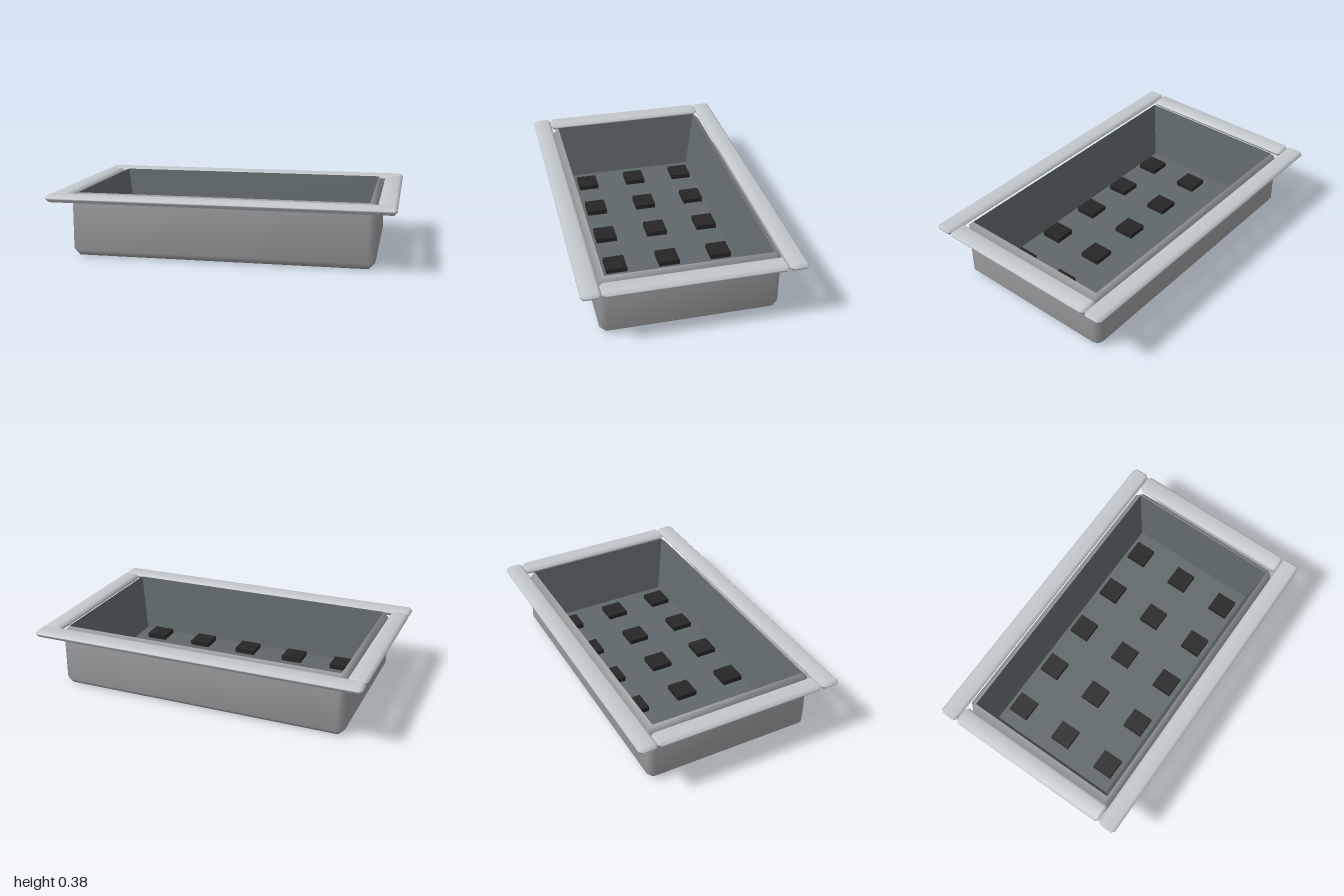
import * as THREE from 'three';
import { mergeVertices } from 'three/addons/utils/BufferGeometryUtils.js';

const paint = (name, color, side = THREE.FrontSide) => {
  const m = new THREE.MeshStandardMaterial({ color, side });
  m.name = name;
  return m;
};

// Skin over rectangular rings [y, halfX, halfZ, cornerCut]; caps face -y (first) and +y (last)
function loft(rings, { capFirst = true, capLast = true, smooth = true } = {}) {
  const pos = [], idx = [];
  for (const [y, hx, hz, c] of rings) {
    const corners = [
      [hx, hz - c], [hx - c, hz], [-hx + c, hz], [-hx, hz - c],
      [-hx, -hz + c], [-hx + c, -hz], [hx - c, -hz], [hx, -hz + c],
    ];
    for (const [x, z] of corners) pos.push(x, y, z);
  }
  for (let r = 0; r < rings.length - 1; r++) {
    for (let i = 0; i < 8; i++) {
      const a = r * 8 + i, b = r * 8 + (i + 1) % 8;
      idx.push(a, a + 8, b, b, a + 8, b + 8);
    }
  }
  const last = (rings.length - 1) * 8;
  for (let i = 1; i < 7; i++) {
    if (capFirst) idx.push(0, i, i + 1);
    if (capLast) idx.push(last, last + i + 1, last + i);
  }
  let geo = new THREE.BufferGeometry();
  geo.setAttribute('position', new THREE.Float32BufferAttribute(pos, 3));
  geo.setIndex(idx);
  geo = smooth ? mergeVertices(geo) : geo.toNonIndexed();
  geo.computeVertexNormals();
  return geo;
}

// Rings of a box with bevelled edges
const bevelRings = (y0, y1, hx, hz, b) => [
  [y0, hx - b, hz - b, 0], [y0 + b, hx, hz, b],
  [y1 - b, hx, hz, b], [y1, hx - b, hz - b, 0],
];

export function createModel() {
  const model = new THREE.Group();
  model.name = 'tray';
  const tubGrey = paint('tub grey', 0x9a9b9d);
  const rimGrey = paint('rim pale grey', 0xc1c8cc);
  const linerGrey = paint('liner dark grey', 0x60686b, THREE.DoubleSide);
  const padBlack = paint('pad black', 0x262626);

  const add = (name, geo, mat, x = 0, y = 0, z = 0) => {
    const mesh = new THREE.Mesh(geo, mat);
    mesh.name = name;
    mesh.position.set(x, y, z);
    model.add(mesh);
  };

  // Outer tub, bevelled and open at the top
  add('tub', loft(bevelRings(0, 0.375, 0.885, 0.51, 0.037), { capLast: false }), tubGrey);

  // Tapered inner walls and floor
  add('liner', loft([[0.375, 0.848, 0.473, 0], [0.03, 0.785, 0.41, 0]],
    { capFirst: false, smooth: false }), linerGrey);

  // Rim: two long bars and two short bars between them
  const longBar = loft(bevelRings(0.335, 0.378, 1, 0.055, 0.018));
  const shortBar = loft(bevelRings(0.335, 0.378, 0.055, 0.51, 0.018));
  for (const s of [-1, 1]) {
    add(s > 0 ? 'frontRim' : 'backRim', longBar, rimGrey, 0, 0, s * 0.567);
    add(s > 0 ? 'leftRim' : 'rightRim', shortBar, rimGrey, s * 0.945, 0, 0);
  }

  // Grid of square pads on the floor
  const pad = new THREE.BoxGeometry(0.126, 0.03, 0.126);
  for (let i = -2; i <= 2; i++) {
    for (let j = -1; j <= 1; j++) add('floorPad', pad, padBlack, i * 0.32, 0.045, j * 0.32);
  }
  return model;
}
